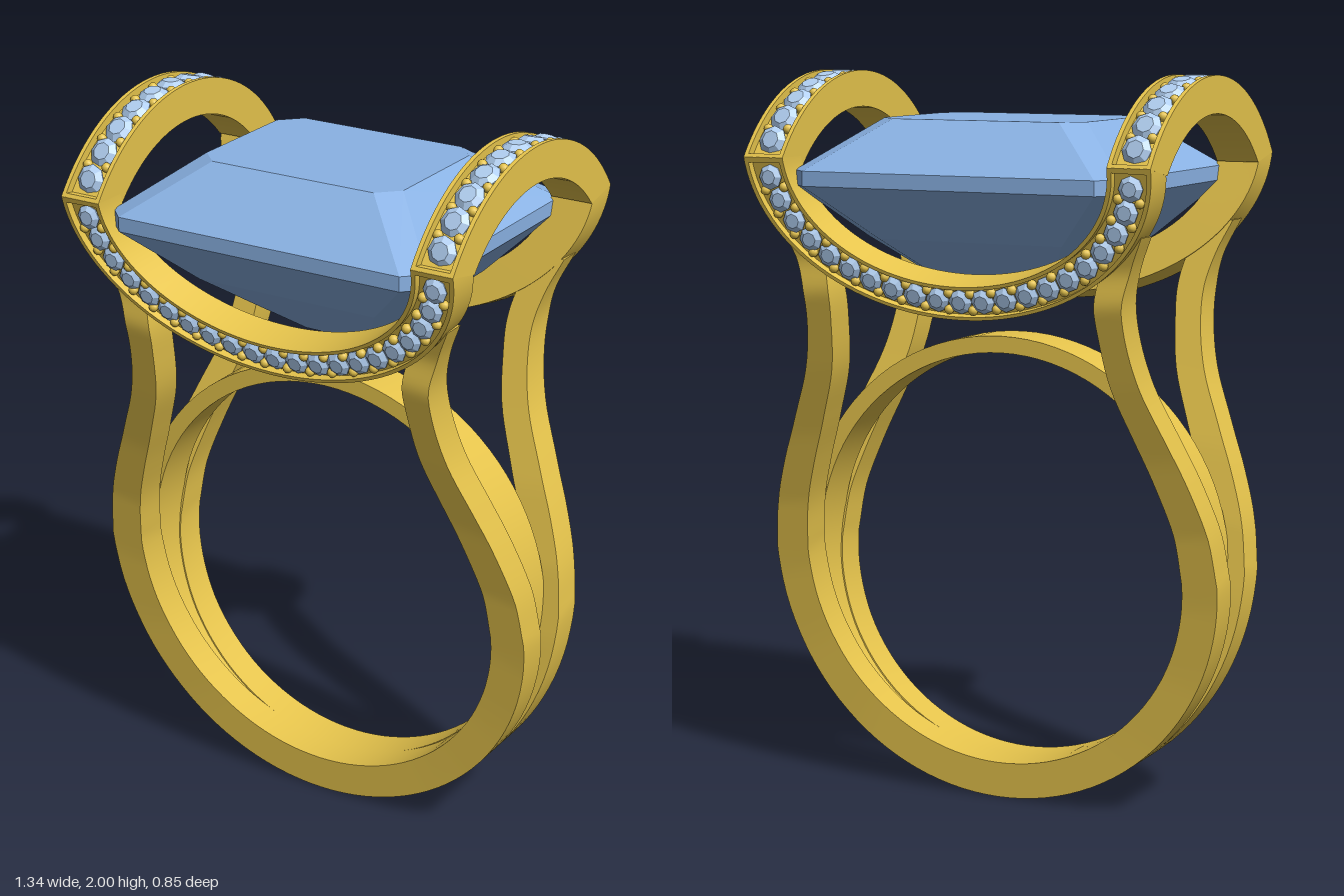
import * as THREE from 'three';
import { mergeGeometries, toCreasedNormals } from 'three/addons/utils/BufferGeometryUtils.js';
import { ConvexGeometry } from 'three/addons/geometries/ConvexGeometry.js';

const V = (x, y, z) => new THREE.Vector3(x, y, z);
const gold = new THREE.MeshStandardMaterial({ color: 0xe6c44c });
const blue = new THREE.MeshStandardMaterial({ color: 0x8ab2e4 });
const paleBlue = new THREE.MeshStandardMaterial({ color: 0xb0cef0 });

function named(name, geometry, material) {
  const mesh = new THREE.Mesh(geometry, material);
  mesh.name = name;
  return mesh;
}

// Skin a row of equal-length cross-sections, cap both ends, and face outward
function sweep(sections) {
  const tris = [];
  const n = sections[0].length;
  for (let i = 0; i < sections.length - 1; i++) {
    for (let j = 0; j < n; j++) {
      const k = (j + 1) % n, a = sections[i], b = sections[i + 1];
      tris.push([a[j], b[j], b[k]], [a[j], b[k], a[k]]);
    }
  }
  const first = sections[0], last = sections[sections.length - 1];
  for (let j = 1; j < n - 1; j++) {
    tris.push([first[0], first[j], first[j + 1]], [last[0], last[j + 1], last[j]]);
  }
  let volume = 0;
  for (const [a, b, c] of tris) volume += a.dot(b.clone().cross(c));
  const points = tris.flatMap(([a, b, c]) => (volume < 0 ? [a, c, b] : [a, b, c]));
  return toCreasedNormals(new THREE.BufferGeometry().setFromPoints(points), 0.5);
}

// Linear lookup in [key, value] pairs
function lookup(table, y) {
  for (let i = 1; i < table.length; i++) {
    const [y0, v0] = table[i - 1], [y1, v1] = table[i];
    if (y <= y1) return THREE.MathUtils.mapLinear(y, y0, y1, v0, v1);
  }
  return table[table.length - 1][1];
}

// Depth of each split-shank band by height
const zOuter = [[0, 0.09], [0.2, 0.1], [0.4, 0.115], [0.6, 0.137], [0.8, 0.168], [1, 0.214], [1.2, 0.27], [1.78, 0.425]];
const zInner = [[0, 0], [0.15, 0], [0.4, 0.02], [0.6, 0.04], [0.8, 0.072], [1, 0.117], [1.2, 0.172], [1.6, 0.28]];

const CENTER_Y = 0.67;

// One band: round below, drawn in to a neck, then flaring to the halo
function band(side) {
  const half = [];
  for (let i = 0; i <= 28; i++) {
    const a = -Math.PI / 2 + (i / 28) * Math.PI / 2;
    half.push([0.57 * Math.cos(a), CENTER_Y + 0.57 * Math.sin(a), 0.67 * Math.cos(a), CENTER_Y + 0.67 * Math.sin(a)]);
  }
  // inner x, outer x, height
  const upper = new THREE.CatmullRomCurve3([
    V(0.57, 0.67, 0.67), V(0.555, 0.652, 0.8), V(0.515, 0.61, 0.93), V(0.465, 0.555, 1.06), V(0.415, 0.497, 1.2),
    V(0.397, 0.472, 1.32), V(0.392, 0.47, 1.42), V(0.412, 0.493, 1.51), V(0.46, 0.533, 1.6),
  ]);
  upper.getPoints(40).slice(1).forEach((p) => half.push([p.x, p.z, p.y, p.z]));
  const left = half.slice(1).reverse().map(([xi, yi, xo, yo]) => [-xi, yi, -xo, yo]);
  const corner = (x, y, outer) => {
    const z = outer
      ? lookup(zOuter, y) - 0.03 * THREE.MathUtils.smoothstep(y, 1.4, 1.52)
      : lookup(zInner, y);
    return V(x, y, side * z);
  };
  return sweep([...left, ...half].map(([xi, yi, xo, yo]) => [
    corner(xi, yi, false), corner(xo, yo, false), corner(xo, yo, true), corner(xi, yi, true),
  ]));
}

// Small round stone, its widest line at y = 0
function roundStone(r) {
  const profile = [[0, -0.7], [1, -0.08], [1, 0], [0.58, 0.32], [0, 0.32]];
  const g = new THREE.LatheGeometry(profile.map(([x, y]) => new THREE.Vector2(x * r, y * r)), 8).toNonIndexed();
  g.computeVertexNormals();
  return g;
}

// Channel-set strip. frame(t, w, d): t along, w across (-1..1), d depth below the rim
function jewelStrip(name, frame, count, radius) {
  const group = new THREE.Group();
  group.name = name;
  const steps = 56, thick = 0.1, rim = 0.8;
  const params = [0, 0.012, 0.0125];
  for (let i = 1; i < steps; i++) params.push(0.0125 + (0.975 * i) / steps);
  params.push(0.9875, 0.988, 1);
  const sections = params.map((t) => {
    const floor = t < 0.0124 || t > 0.9876 ? 0 : 0.022;
    return [[-1, thick], [1, thick], [1, 0], [rim, 0], [rim, floor], [-rim, floor], [-rim, 0], [-1, 0]]
      .map(([w, d]) => frame(t, w, d));
  });
  group.add(named('channel', sweep(sections), gold));

  // evenly spaced stones with a pair of beads in every gap
  const path = new THREE.CatmullRomCurve3(Array.from({ length: 81 }, (_, i) => frame(i / 80, 0, 0)));
  const at = (u) => path.getUtoTmapping(0.016 + 0.968 * u);
  const stones = [], beads = [];
  for (let i = 0; i < count; i++) {
    const t = at((i + 0.5) / count);
    const normal = frame(t, 0, 0).sub(frame(t, 0, 0.05)).normalize();
    const turn = new THREE.Quaternion().setFromUnitVectors(V(0, 1, 0), normal);
    const seat = frame(t, 0, 0.013);
    stones.push(roundStone(radius).applyQuaternion(turn).translate(seat.x, seat.y, seat.z));
    if (i === 0) continue;
    for (const w of [-0.5, 0.5]) {
      const p = frame(at(i / count), w, 0.014);
      beads.push(new THREE.SphereGeometry(0.0135, 10, 6).translate(p.x, p.y, p.z));
    }
  }
  group.add(named('smallStones', mergeGeometries(stones), paleBlue));
  group.add(named('beads', mergeGeometries(beads), gold));
  return group;
}

// Octagonal outline: half width, half depth, corner cut, height
function octagon(x, z, cut, y) {
  const points = [];
  for (const sx of [-1, 1]) {
    for (const sz of [-1, 1]) {
      points.push(V(sx * x, y, sz * (z - cut)), V(sx * (x - cut), y, sz * z));
    }
  }
  return points;
}

export function createModel() {
  const model = new THREE.Group();
  model.name = 'ring';

  // Split shank
  model.add(named('frontBand', band(1), gold), named('backBand', band(-1), gold));

  // Inner ring bridging the two bands
  const hoop = [];
  for (let i = 0; i <= 96; i++) {
    const a = (i / 96) * Math.PI * 2 - Math.PI / 2;
    hoop.push([[0.574, -1], [0.62, -1], [0.62, 1], [0.574, 1]]
      .map(([r, s]) => V(r * Math.cos(a), CENTER_Y + r * Math.sin(a), s * 0.066)));
  }
  model.add(named('innerRing', sweep(hoop), gold));

  for (const side of [1, -1]) {
    // Hanging half-ellipse in a leaning plane, front and back
    const halo = (t, w, d) => {
      const a = Math.PI * t, s = Math.sin(a);
      const y = 1.78 - (0.375 + 0.045 * w) * s;
      return V(-(0.53 + 0.06 * w) * Math.cos(a), y + 0.25 * d * s, side * (0.425 - 0.267 * (1.78 - y) - 0.97 * d));
    };
    model.add(jewelStrip(side > 0 ? 'frontHalo' : 'backHalo', halo, 21, 0.034));

    // Raised arch over each end of the stone
    const arch = (t, w, d) => {
      const a = (2 * t - 1) * (0.957 - 1.05 * d), r = 0.52 - d;
      return V(side * 0.53 + 0.06 * w, 1.48 + r * Math.cos(a), r * Math.sin(a));
    };
    model.add(jewelStrip(side > 0 ? 'leftArch' : 'rightArch', arch, 11, 0.041));
  }

  // Step-cut centre stone: table, girdle, pavilion and keel
  model.add(named('centreStone', new ConvexGeometry([
    ...octagon(0.3, 0.225, 0.055, 1.88),
    ...octagon(0.475, 0.4, 0.05, 1.745),
    ...octagon(0.475, 0.4, 0.05, 1.705),
    ...octagon(0.34, 0.26, 0.07, 1.56),
    V(-0.1, 1.37, 0), V(0.1, 1.37, 0),
  ]), blue));

  return model;
}
